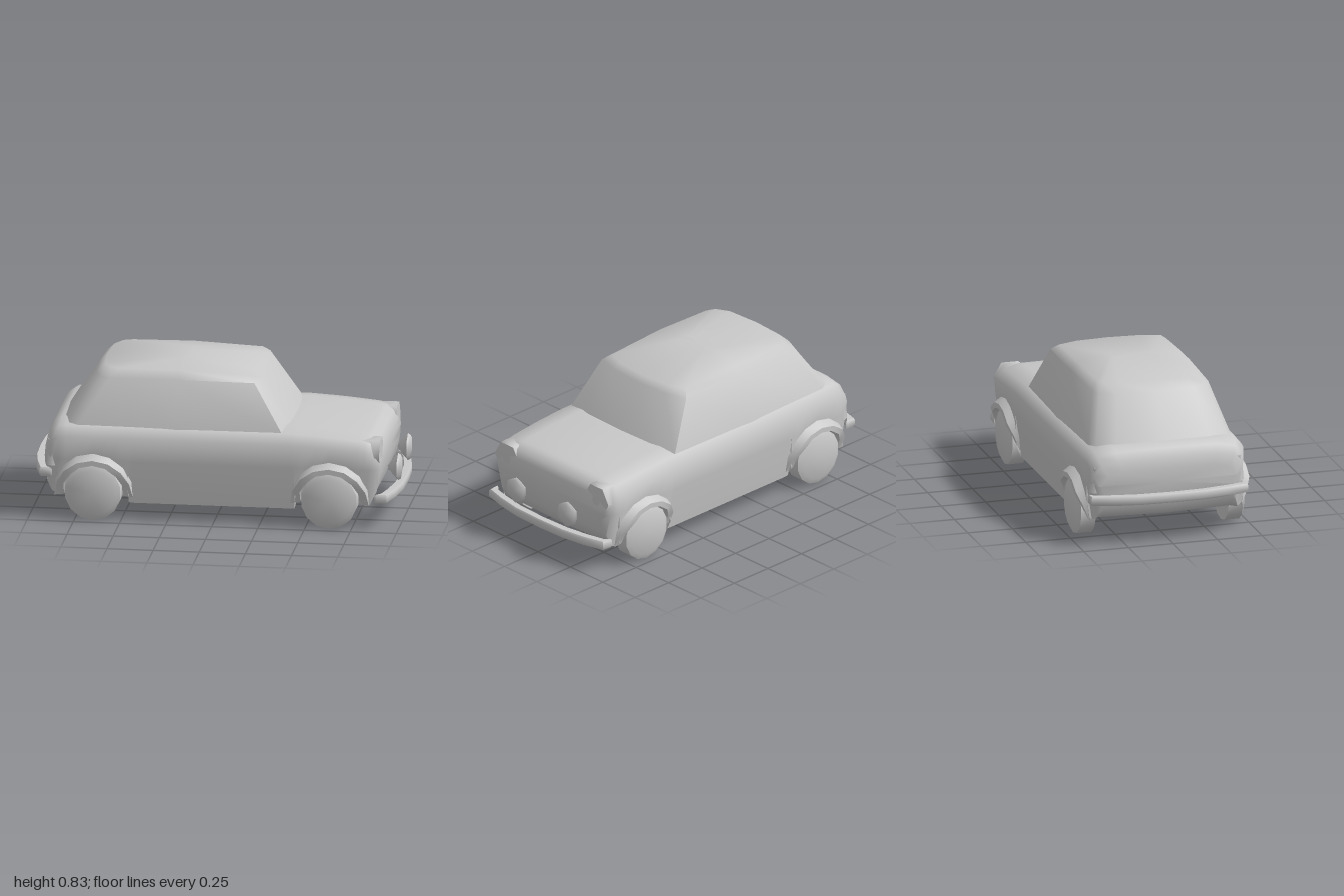
import * as THREE from 'three';
import { toCreasedNormals } from 'three/addons/utils/BufferGeometryUtils.js';

const paint = new THREE.MeshStandardMaterial({ color: 0xc8c8c8, side: THREE.DoubleSide });
paint.name = 'lightGrey';

function part(geometry, name, crease = 0.7) {
  const mesh = new THREE.Mesh(toCreasedNormals(geometry, crease), paint);
  mesh.name = name;
  return mesh;
}

// Full loop from a half loop that starts and ends on z = 0
function mirrorLoop(half) {
  const other = half.slice(1, -1).reverse().map(([x, y, z]) => [x, y, -z]);
  return [...half, ...other];
}

// Surface through a list of loops, optionally closed round and capped
function skin(loops, closed = true, caps = true) {
  const pos = [];
  const n = loops[0].length;
  for (let i = 0; i < loops.length - 1; i++) {
    for (let j = 0; j < (closed ? n : n - 1); j++) {
      const k = (j + 1) % n;
      const a = loops[i][j], b = loops[i][k], c = loops[i + 1][k], d = loops[i + 1][j];
      pos.push(...a, ...d, ...c, ...a, ...c, ...b);
    }
  }
  if (caps) {
    [loops[0], loops[loops.length - 1]].forEach((loop, end) => {
      const mid = [0, 1, 2].map((q) => loop.reduce((s, p) => s + p[q], 0) / n);
      for (let j = 0; j < n; j++) {
        const a = loop[j], b = loop[(j + 1) % n];
        pos.push(...mid, ...(end ? b : a), ...(end ? a : b));
      }
    });
  }
  const g = new THREE.BufferGeometry();
  g.setAttribute('position', new THREE.Float32BufferAttribute(pos, 3));
  return g;
}

const axles = [-0.65, 0.63];

// Lower body stations: x, sill height, top height, half width
const stations = [
  [-0.92, 0.27, 0.40, 0.385], [-0.905, 0.19, 0.455, 0.415], [-0.88, 0.145, 0.5, 0.432],
  [-0.84, 0.125, 0.525, 0.443], [-0.78, 0.12, 0.53, 0.45], [-0.43, 0.095, 0.53, 0.455],
  [0.42, 0.095, 0.525, 0.455], [0.60, 0.10, 0.515, 0.455], [0.80, 0.115, 0.497, 0.452],
  [0.845, 0.13, 0.488, 0.447], [0.88, 0.2, 0.465, 0.437], [0.902, 0.29, 0.43, 0.415],
];
// Wheel well outline: offset from axle, height
const well = [[-0.19, 0.15], [-0.15, 0.24], [-0.08, 0.3], [0, 0.315], [0.08, 0.3], [0.15, 0.24], [0.19, 0.15]];

function stationAt(x) {
  let i = 0;
  while (i < stations.length - 2 && stations[i + 1][0] < x) i++;
  const p = stations[i], q = stations[i + 1];
  const t = (x - p[0]) / (q[0] - p[0]);
  return p.map((v, k) => v + (q[k] - v) * t);
}

function section([x, bottom, top, w], wellTop) {
  const floor = Math.max(bottom, 0.112);
  const low = wellTop ?? bottom;
  const sill = wellTop ? w - 0.01 : w - 0.035;
  return mirrorLoop([
    [x, floor, 0], [x, floor + 0.01, 0.365], [x, wellTop ?? floor + 0.01, 0.366], [x, low, sill],
    [x, Math.max(0.33, low + 0.04), w - 0.005],
    [x, top - 0.07, w], [x, top - 0.018, w - 0.045], [x, top, w * 0.66], [x, top + 0.003, 0],
  ]);
}

function lowerBody() {
  const cuts = stations
    .filter(([x]) => axles.every((a) => Math.abs(x - a) > 0.191))
    .map((s) => ({ x: s[0], s }));
  for (const a of axles) {
    for (const [dx, y] of well) {
      const s = stationAt(a + dx);
      // A doubled station makes the upright end of the well
      if (dx === -0.19) cuts.push({ x: s[0] - 1e-5, s });
      cuts.push({ x: s[0], s, y });
      if (dx === 0.19) cuts.push({ x: s[0] + 1e-5, s });
    }
  }
  cuts.sort((p, q) => p.x - q.x);
  return skin(cuts.map((c) => section(c.s, c.y)));
}

// Cabin rings: front y, middle y, rear y, front x, middle x, rear x, half width
function cabin() {
  const rings = [
    [0.50, 0.50, 0.50, 0.42, -0.2, -0.85, 0.415],
    [0.76, 0.765, 0.76, 0.258, -0.2, -0.675, 0.335],
    [0.792, 0.807, 0.805, 0.225, -0.2, -0.63, 0.295],
    [0.829, 0.829, 0.829, -0.17, -0.2, -0.23, 0.115],
  ];
  return skin(rings.map(([yf, ym, yr, f, m, r, w], i) => {
    const s = i === 3 ? 0.1 : 1;
    return mirrorLoop([
      [f, yf, 0], [f - 0.012 * s, yf, w * 0.6], [f - 0.05 * s, yf, w * 0.97], [m, ym, w],
      [r + 0.1 * s, yr, w * 0.97], [r + 0.05 * s, yr, w * 0.9], [r + 0.012 * s, yr, w * 0.65], [r, yr, 0],
    ]);
  }));
}

// Flared lip round one wheel arch, tucking in towards its feet
function flare(axle, side) {
  const rows = [[0.215, 0.215, 0.445], [0.205, 0.184, 0.488], [0.166, 0.156, 0.488], [0.16, 0.15, 0.43]];
  return skin(rows.map(([rx, ry, z]) => {
    const row = [];
    for (let i = 0; i <= 8; i++) {
      const a = (-8 + (196 * i) / 8) * Math.PI / 180;
      const reach = Math.min(1, Math.max(0, 0.2 + 1.2 * Math.sin(a)));
      row.push([axle + rx * Math.cos(a), 0.155 + ry * Math.sin(a), side * (0.425 + (z - 0.425) * reach)]);
    }
    return row;
  }), false, false);
}

const lathe = (points, sides, start = 0) => new THREE.LatheGeometry(
  points.map(([r, y]) => new THREE.Vector2(r, y)), sides, start);

// Rounded bar bent back at both ends, with end = +1 front or -1 rear
function bumper(end, y) {
  const half = [[0.885, -0.445], [0.94, -0.44], [0.972, -0.32], [0.995, -0.18], [1, 0]];
  const back = [[0.952, 0], [0.945, -0.18], [0.922, -0.32], [0.9, -0.41], [0.872, -0.44]];
  const flip = (list) => list.slice().reverse().map(([x, z]) => [x, -z]);
  const outline = [...half, ...flip(half).slice(1), ...flip(back), ...back.slice(1)];
  const shape = new THREE.Shape(outline.map(([x, z]) => new THREE.Vector2(end * x, z)));
  const g = new THREE.ExtrudeGeometry(shape, {
    depth: 0.03, bevelThickness: 0.01, bevelSize: 0.007, bevelOffset: -0.007, bevelSegments: 1,
  });
  g.rotateX(-Math.PI / 2);
  g.translate(0, y + 0.01, 0);
  return g;
}

export function createModel() {
  const car = new THREE.Group();
  car.name = 'car';
  car.add(part(lowerBody(), 'lowerBody', 1), part(cabin(), 'cabin', 1));
  car.add(part(bumper(1, 0.145), 'frontBumper', 0.95), part(bumper(-1, 0.23), 'rearBumper', 0.95));

  for (const side of [1, -1]) {
    const label = side > 0 ? 'Near' : 'Far';

    // Wheels and arches
    axles.forEach((axle, i) => {
      const where = (i ? 'front' : 'rear') + label;
      const g = lathe([[0, -0.05], [0.153, -0.05], [0.153, 0.033], [0.125, 0.047], [0, 0.05]], 14);
      g.rotateX(side * Math.PI / 2);
      g.translate(axle, 0.153, side * 0.423);
      car.add(part(g, where + 'Wheel'), part(flare(axle, side), where + 'Arch', 0.9));
    });

    // Hexagonal headlamp blending back into the wing
    const head = lathe([[0.06, 0.55], [0.09, 0.76], [0.096, 0.86], [0.094, 0.898], [0, 0.904]], 6);
    head.rotateZ(-Math.PI / 2);
    head.translate(0, 0.4, side * 0.345);
    car.add(part(head, 'headlamp' + label, 1.1));

    // Spot lamp in front of the grille
    const spot = lathe([[0, 0.912], [0.04, 0.938], [0.076, 0.97], [0.066, 0.985], [0, 0.992]], 6, Math.PI / 6);
    spot.rotateZ(-Math.PI / 2);
    spot.translate(0, 0.288, side * 0.197);
    car.add(part(spot, 'spotLamp' + label, 1.1));

    // Tail lamp
    const tail = new THREE.CylinderGeometry(0.03, 0.04, 0.14, 6);
    tail.translate(-0.872, 0.36, side * 0.395);
    car.add(part(tail, 'tailLamp' + label, 1.1));
  }
  return car;
}
